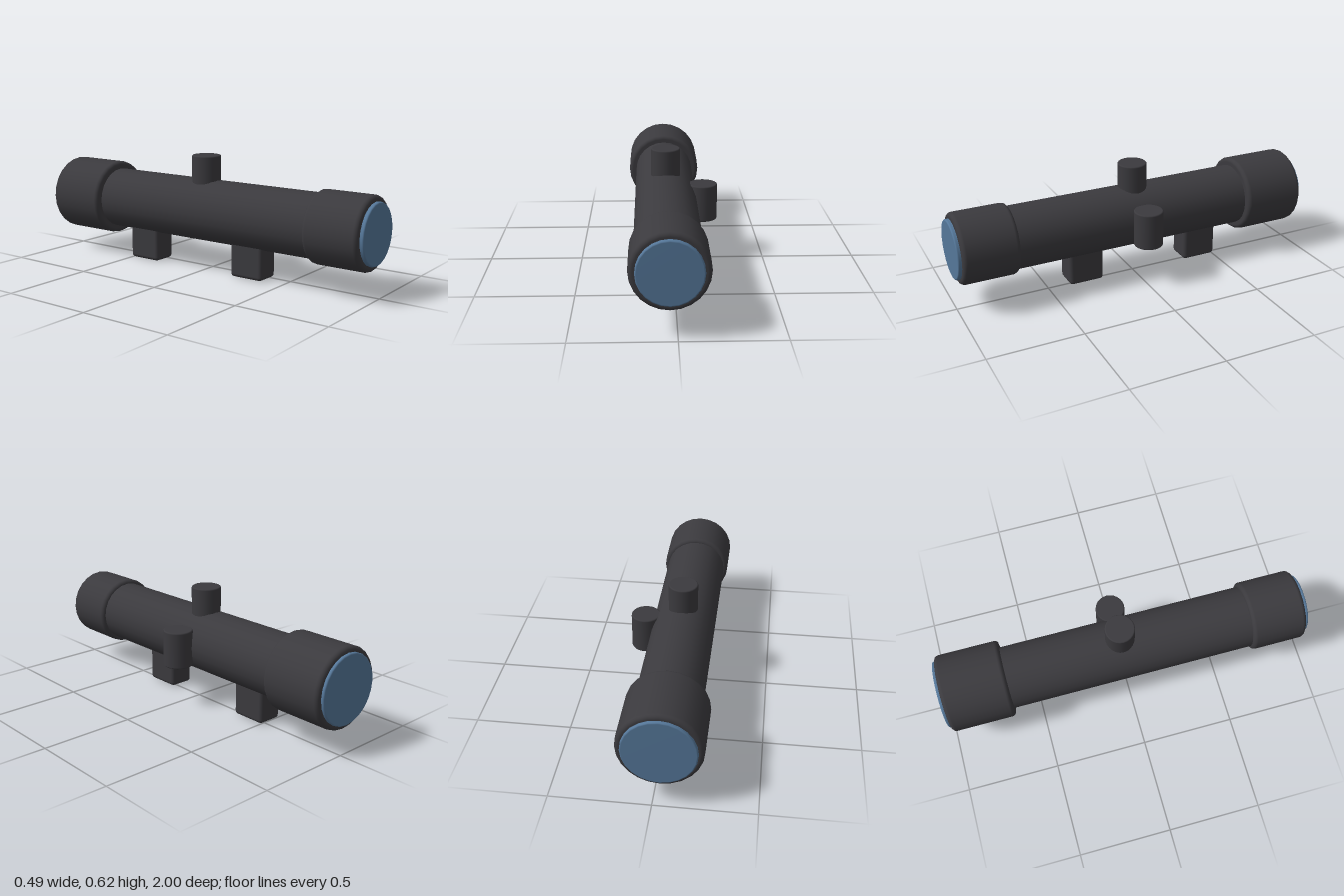
import * as THREE from 'three';
import { RoundedBoxGeometry } from 'three/addons/geometries/RoundedBoxGeometry.js';

const AXIS_X = -0.036, AXIS_Y = 0.325;

// Solid turned cylinder from y = a to y = b with rounded rims
function turned(radius, a, b, bevel, segments = 24) {
  const pts = [new THREE.Vector2(0, a)];
  const steps = 4;
  for (const [y, start] of [[a + bevel, -Math.PI / 2], [b - bevel, 0]]) {
    for (let i = 0; i <= steps; i++) {
      const t = start + (i / steps) * Math.PI / 2;
      pts.push(new THREE.Vector2(radius - bevel + Math.cos(t) * bevel, y + Math.sin(t) * bevel));
    }
  }
  pts.push(new THREE.Vector2(0, b));
  return new THREE.LatheGeometry(pts, segments);
}

export function createModel() {
  const model = new THREE.Group();
  model.name = 'scope';

  const body = new THREE.MeshStandardMaterial({ color: 0x3b3a3e });
  body.name = 'darkBody';
  const glass = new THREE.MeshStandardMaterial({ color: 0x557799 });
  glass.name = 'blueGlass';

  const add = (name, geometry, material, x, y, z) => {
    const mesh = new THREE.Mesh(geometry, material);
    mesh.name = name;
    mesh.position.set(x, y, z);
    model.add(mesh);
  };

  // Parts along the optical axis: name, radius, z from, z to, bevel, material
  const barrelParts = [
    ['mainTube', 0.167, -0.7, 0.74, 0.01, body],
    ['frontBell', 0.188, 0.682, 0.98, 0.022, body],
    ['rearBell', 0.208, -0.985, -0.64, 0.022, body],
    ['frontLens', 0.157, 0.95, 1.0, 0.008, glass],
    ['rearLens', 0.181, -1.0, -0.95, 0.008, glass],
  ];
  for (const [name, r, z0, z1, bevel, material] of barrelParts) {
    add(name, turned(r, z0, z1, bevel).rotateX(Math.PI / 2), material, AXIS_X, AXIS_Y, 0);
  }

  // Adjustment knobs, both upright
  add('topKnob', turned(0.078, 0.425, 0.623, 0.007), body, AXIS_X, 0, -0.016);
  add('sideKnob', turned(0.078, 0.226, 0.424, 0.007), body, 0.165, 0, -0.016);

  // Mounting feet
  for (const [name, z] of [['frontMount', 0.286], ['rearMount', -0.41]]) {
    add(name, new RoundedBoxGeometry(0.138, 0.22, 0.196, 3, 0.02), body, AXIS_X, 0.11, z);
  }
  return model;
}
